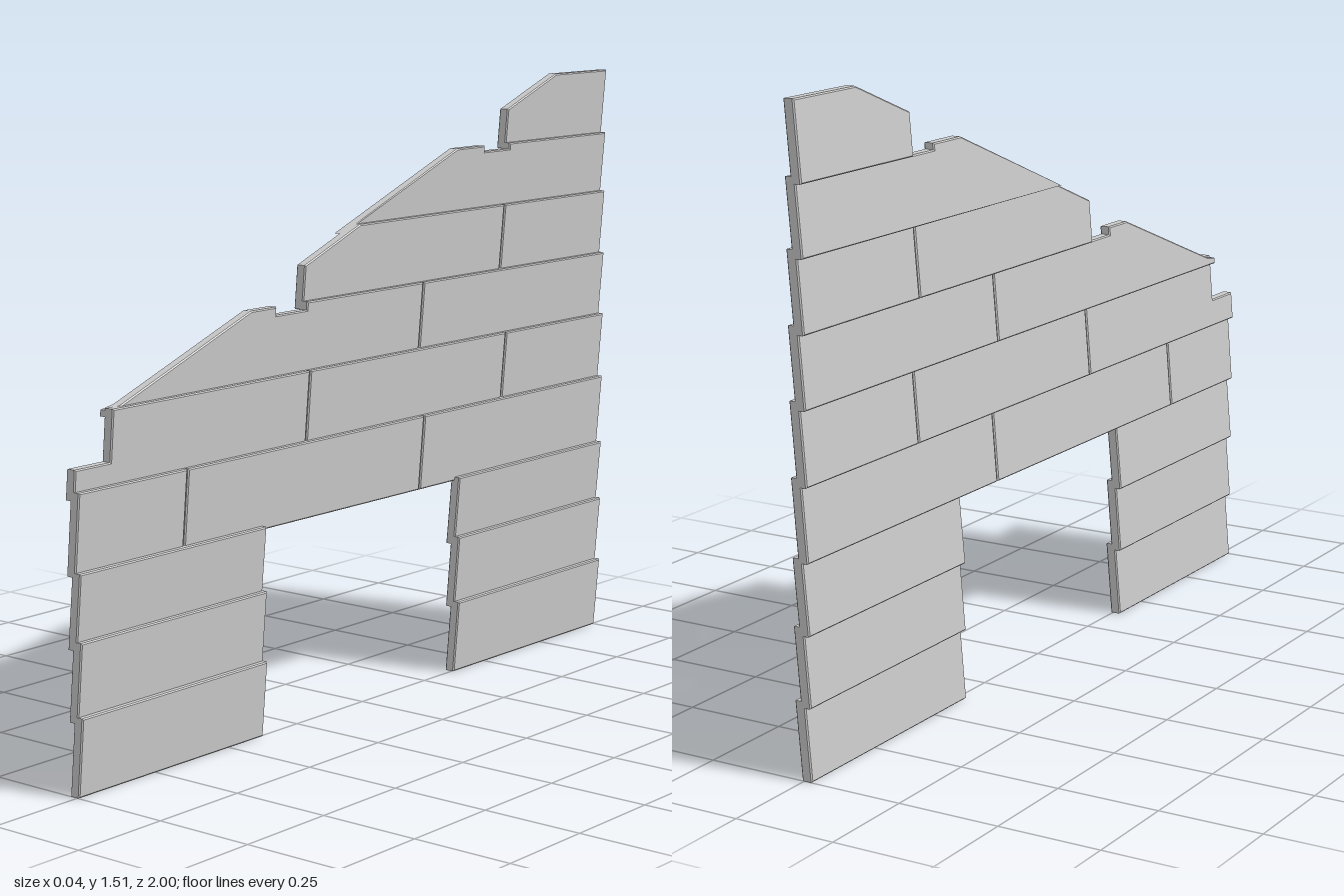
import * as THREE from 'three';

const THICK = 0.027, LEAN = 0.016, BEVEL = 0.003, GAP = 0.0015;
// lower and upper edge of each course of boards, overlapping like clapboard
const ROWS = [[0, 0.185], [0.17, 0.355], [0.335, 0.51], [0.5, 0.69], [0.67, 0.86],
  [0.84, 1.025], [1.005, 1.19], [1.17, 1.345], [1.33, 1.51]];

const material = new THREE.MeshStandardMaterial({ color: 0xcccccc, flatShading: true });

// A board from its side outline in [z, y], tilted so its upper edge moves to +x
function board(name, row, outline) {
  const [low, high] = ROWS[row];
  const shape = new THREE.Shape(outline.map(([z, y]) => new THREE.Vector2(-z, y)));
  const geo = new THREE.ExtrudeGeometry(shape, {
    depth: THICK - 2 * BEVEL, bevelThickness: BEVEL, bevelSize: BEVEL,
    bevelOffset: -BEVEL, bevelSegments: 1,
  });
  geo.translate(0, 0, BEVEL - THICK / 2);
  geo.rotateY(Math.PI / 2);
  const p = geo.attributes.position;
  for (let i = 0; i < p.count; i++) {
    p.setX(i, p.getX(i) + LEAN * ((p.getY(i) - low) / (high - low) - 0.5));
  }
  geo.computeVertexNormals();
  const mesh = new THREE.Mesh(geo, material);
  mesh.name = name;
  return mesh;
}

// Rectangular board filling its course between two z positions
function plank(name, row, zFront, zBack) {
  const [low, high] = ROWS[row];
  return board(name, row, [[zFront, low], [zFront, high], [zBack, high], [zBack, low]]);
}

export function createModel() {
  const wall = new THREE.Group();
  wall.name = 'brokenPlankWall';

  // short boards on both sides of the opening
  for (let row = 0; row < 3; row++) {
    wall.add(plank('frontLegBoard', row, 1, 0.38), plank('backLegBoard', row, -0.365, -1));
  }

  // full course across the opening
  const joints = [1, 0.65, -0.22, -1];
  for (let i = 0; i < 3; i++) {
    wall.add(plank('lintelBoard', 3, joints[i] - (i ? GAP : 0), joints[i + 1] + (i < 2 ? GAP : 0)));
  }

  // stepped and sloping boards along the broken edge
  wall.add(
    board('steppedBoard', 4, [[1, 0.67], [1, 0.74], [0.89, 0.74], [0.89, 0.86],
      [0.22 + GAP, 0.86], [0.22 + GAP, 0.67]]),
    board('slopedBoard', 5, [[0.89, 0.84], [0.89, 0.855], [0.85, 0.862], [0.43, 1.025],
      [0.34, 1.025], [0.34, 1.005], [0.23, 1.005], [0.23, 1.025],
      [-0.215 + GAP, 1.025], [-0.215 + GAP, 0.84]]),
    board('slopedBoard', 6, [[0.23, 1.005], [0.23, 1.11], [0.033, 1.19],
      [-0.55 + GAP, 1.19], [-0.55 + GAP, 1.005]]),
    board('slopedBoard', 7, [[0.08, 1.17], [-0.35, 1.345], [-0.465, 1.345], [-0.465, 1.33],
      [-0.57, 1.33], [-0.57, 1.345], [-1, 1.345], [-1, 1.17]]),
    board('topBoard', 8, [[-0.57, 1.33], [-0.57, 1.43], [-0.77, 1.51], [-1, 1.51], [-1, 1.33]]),
  );

  // plain boards completing the upper courses
  wall.add(
    plank('middleBoard', 4, 0.22 - GAP, -0.56 + GAP),
    plank('backBoard', 4, -0.56 - GAP, -1),
    plank('backBoard', 5, -0.215 - GAP, -1),
    plank('backBoard', 6, -0.55 - GAP, -1),
  );
  return wall;
}
